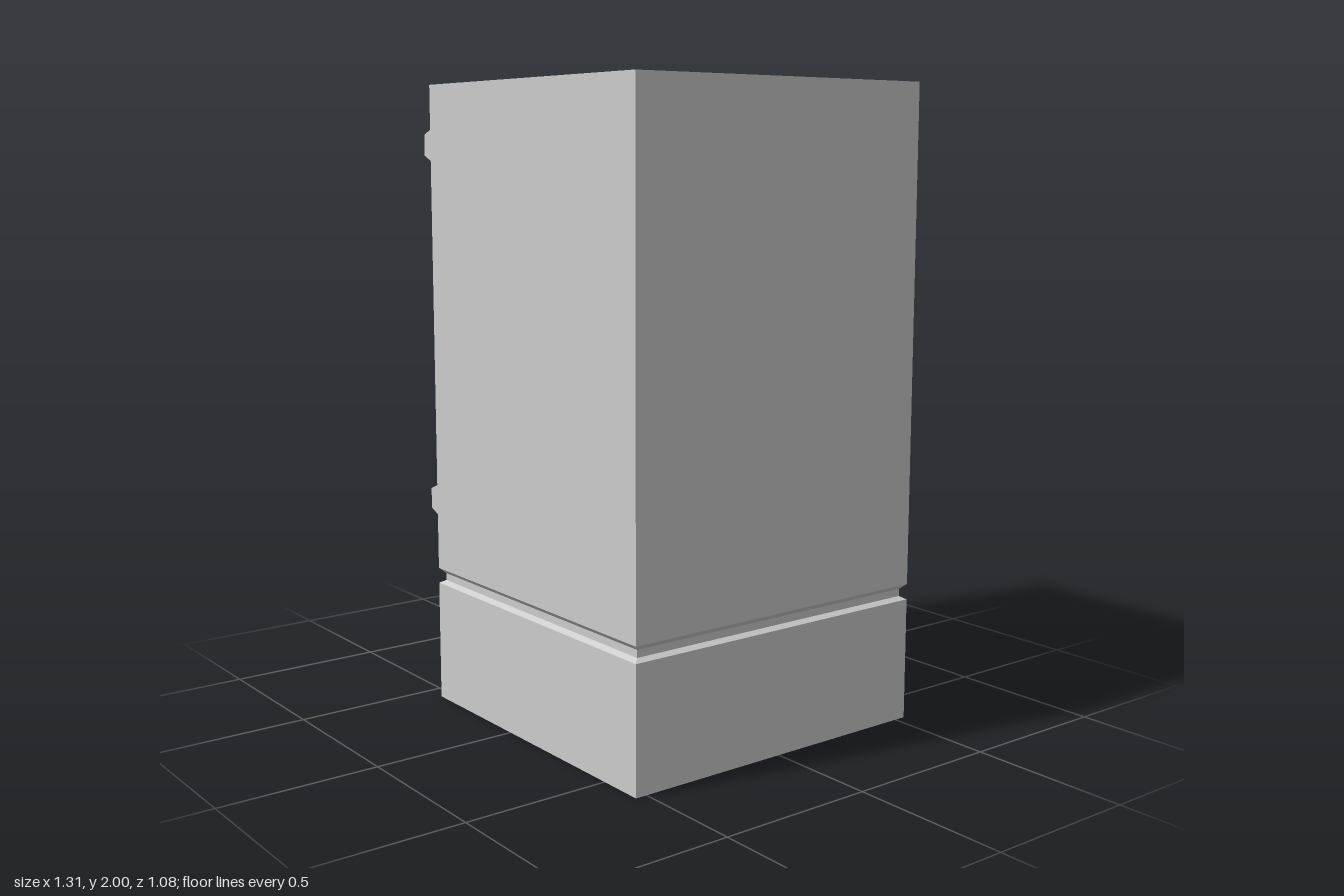
import * as THREE from 'three';

const grey = new THREE.MeshStandardMaterial({ color: 0xcccccc, flatShading: true });

function add(parent, name, geometry) {
  const mesh = new THREE.Mesh(geometry, grey);
  mesh.name = name;
  parent.add(mesh);
  return mesh;
}

// Faceted solid of revolution around y; profile rows are [radius, height], rising
function turned(profile, sides, phase) {
  const pts = profile.map(([r, h]) => new THREE.Vector2(r, h));
  return new THREE.LatheGeometry(pts, sides, phase);
}

// Box whose outer (-x) face is drawn in to give a bevelled rim
function bevelledPanel(depth, height, width, bevel) {
  const g = new THREE.BoxGeometry(depth, height, width);
  const p = g.attributes.position;
  for (let i = 0; i < p.count; i++) {
    if (p.getX(i) > 0) continue;
    p.setY(i, p.getY(i) - Math.sign(p.getY(i)) * bevel);
    p.setZ(i, p.getZ(i) - Math.sign(p.getZ(i)) * bevel);
  }
  return g;
}

export function createModel() {
  const safe = new THREE.Group();
  safe.name = 'safe';
  const wall = -0.425, doorFace = -0.443;

  // Square body with a chamfered groove above the base
  const k = Math.SQRT2, half = 0.5375, neck = 0.52;
  const body = add(safe, 'body', turned([
    [0, 0], [half * k, 0], [half * k, 0.39], [neck * k, 0.4],
    [neck * k, 0.423], [half * k, 0.44], [half * k, 2], [0, 2],
  ], 4, Math.PI / 4));
  body.position.x = 0.1125;

  // Door on the -x side
  const door = add(safe, 'door', bevelledPanel(0.018, 1.45, 0.885, 0.009));
  door.position.set((wall + doorFace) / 2, 1.222, 0);

  // Hinges with a fixing plate beside the door
  const bar = new THREE.Shape([
    [doorFace + 0.004, -0.066], [doorFace + 0.004, 0.066], [doorFace, 0.066],
    [-0.52, 0.033], [-0.52, -0.033], [doorFace, -0.066],
  ].map(([x, y]) => new THREE.Vector2(x, y)));
  for (const y of [0.655, 1.813]) {
    const hinge = new THREE.Group();
    hinge.name = 'hinge';
    hinge.position.y = y;
    safe.add(hinge);
    add(hinge, 'hingeBar', new THREE.ExtrudeGeometry(bar, { depth: 0.345, bevelEnabled: false }))
      .position.z = 0.16;
    add(hinge, 'hingePlate', new THREE.BoxGeometry(0.016, 0.254, 0.06))
      .position.set(wall - 0.008, 0, 0.482);
  }

  // Dial: hexagonal plate and waisted knob, turned along -x
  const dial = new THREE.Group();
  dial.name = 'dial';
  dial.position.set(doorFace, 1.466, 0.0365);
  dial.rotation.z = Math.PI / 2;
  safe.add(dial);
  add(dial, 'dialPlate', turned([[0, 0], [0.17, 0], [0.17, 0.018], [0, 0.018]], 6, Math.PI / 6));
  add(dial, 'dialKnob', turned([
    [0.093, 0.017], [0.092, 0.022], [0.059, 0.062], [0.0725, 0.1],
    [0.0725, 0.115], [0.06, 0.142], [0, 0.142],
  ], 6, Math.PI / 6));

  // Handle: octagonal plate, flared neck, ball and lever
  const handle = new THREE.Group();
  handle.name = 'handle';
  handle.position.set(doorFace, 1.183, -0.25);
  handle.rotation.z = Math.PI / 2;
  safe.add(handle);
  const plate = add(handle, 'handlePlate', turned([
    [0, 0], [0.136, 0], [0.136, 0.034], [0.091, 0.034], [0.091, 0.041], [0, 0.041],
  ], 8, Math.PI / 8));
  plate.scale.x = 0.9;
  add(handle, 'handleBall', turned([
    [0.053, 0.041], [0.03, 0.088], [0.034, 0.094], [0.064, 0.118],
    [0.064, 0.158], [0.047, 0.193], [0.014, 0.212], [0, 0.212],
  ], 8, Math.PI / 8));

  // Lever sloping down and towards the hinge side
  const start = new THREE.Vector3(-0.588, 1.168, -0.225);
  const end = new THREE.Vector3(-0.588, 1.037, 0);
  const dir = end.clone().sub(start);
  const len = dir.length();
  const lever = add(safe, 'lever', turned([
    [0, 0], [0.026, 0], [0.04, len - 0.02], [0.04, len - 0.006], [0.034, len], [0, len],
  ], 8, Math.PI / 8));
  lever.position.copy(start);
  lever.quaternion.setFromUnitVectors(new THREE.Vector3(0, 1, 0), dir.normalize());

  return safe;
}
